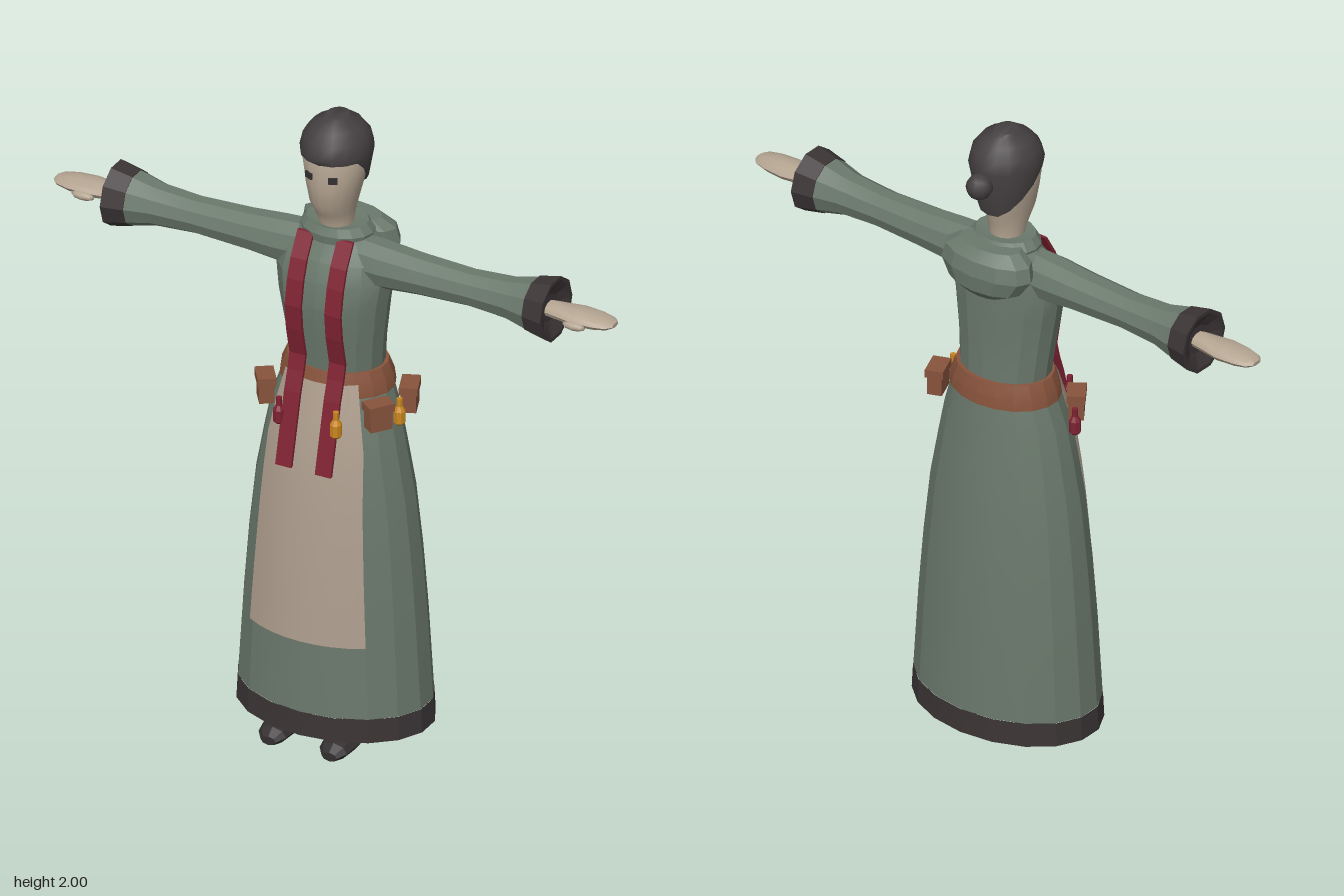
import * as THREE from 'three';
import { toCreasedNormals } from 'three/addons/utils/BufferGeometryUtils.js';

const mat = (name, color, side = THREE.FrontSide) =>
  Object.assign(new THREE.MeshStandardMaterial({ color, side }), { name });

// Elliptical rings [y, rx, rz, centreZ] joined from bottom to top
function loft(rings, sides, { caps = true, crease = 0.3, bend } = {}) {
  const pos = [], idx = [];
  rings.forEach(([y, rx, rz, cz = 0], i) => {
    for (let j = 0; j < sides; j++) {
      const a = (j / sides) * Math.PI * 2;
      const p = new THREE.Vector3(rx * Math.sin(a), y, cz + rz * Math.cos(a));
      if (bend) bend(p, i);
      pos.push(p.x, p.y, p.z);
    }
  });
  const top = (rings.length - 1) * sides;
  for (let i = 0; i < rings.length - 1; i++) {
    for (let j = 0; j < sides; j++) {
      const a = i * sides + j, b = i * sides + (j + 1) % sides;
      idx.push(a, b, b + sides, a, b + sides, a + sides);
    }
  }
  if (caps) {
    for (let j = 1; j < sides - 1; j++) idx.push(0, j + 1, j, top, top + j, top + j + 1);
  }
  const g = new THREE.BufferGeometry();
  g.setAttribute('position', new THREE.Float32BufferAttribute(pos, 3));
  g.setIndex(idx);
  return toCreasedNormals(g, crease);
}

export function createModel() {
  const model = new THREE.Group();
  model.name = 'robedWoman';
  const green = mat('greenCloth', 0x6a786b, THREE.DoubleSide);
  const trim = mat('darkTrim', 0x3b3435, THREE.DoubleSide);
  const linen = mat('apronLinen', 0xad9d8d, THREE.DoubleSide);
  const skin = mat('skin', 0xb5a592);
  const hairMat = mat('hair', 0x443f40, THREE.DoubleSide);
  const red = mat('redCloth', 0x7e2232);
  const leather = mat('leather', 0x87533c);
  const amber = mat('amberGlass', 0xc9851f);
  const black = mat('shoeBlack', 0x332f31);

  const add = (name, geo, material, parent = model) => {
    const m = new THREE.Mesh(geo, material);
    m.name = name;
    parent.add(m);
    return m;
  };

  // Skirt and hem
  const skirt = [
    [0.135, 0.303, 0.217, 0], [0.4, 0.286, 0.207, 0], [0.6, 0.27, 0.194, 0],
    [0.8, 0.248, 0.178, 0], [0.95, 0.22, 0.162, 0], [1.05, 0.2, 0.147, -0.002],
    [1.15, 0.168, 0.13, -0.01], [1.2, 0.15, 0.118, -0.01],
  ];
  add('skirt', loft(skirt, 18, { caps: false }), green);
  add('hem', loft([[0.06, 0.308, 0.221], [0.135, 0.304, 0.218]], 18, { caps: false }), trim);

  // Apron follows the skirt front
  const skirtAt = (y) => {
    let i = 0;
    while (i < skirt.length - 2 && skirt[i + 1][0] < y) i++;
    const t = (y - skirt[i][0]) / (skirt[i + 1][0] - skirt[i][0]);
    return skirt[i].map((v, k) => v + (skirt[i + 1][k] - v) * t);
  };
  const apron = new THREE.PlaneGeometry(2, 0.81, 8, 8);
  const ap = apron.attributes.position;
  for (let i = 0; i < ap.count; i++) {
    const y = ap.getY(i) + 0.775;
    const [, rx, rz, cz] = skirtAt(y);
    const w = y < 1.0 ? 0.19 - (y - 0.37) * 0.055 : 0.155 - (y - 1.0) * 0.2;
    const x = ap.getX(i) * w;
    ap.setXYZ(i, x, y, cz + rz * Math.sqrt(1 - (x / rx) ** 2) + 0.014);
  }
  add('apron', toCreasedNormals(apron, 0.2), linen);

  // Bodice, collar and folded hood
  add('bodice', loft([
    [1.18, 0.143, 0.112, -0.012], [1.3, 0.155, 0.115, -0.002], [1.42, 0.172, 0.124, 0.006],
    [1.5, 0.184, 0.118, 0.002], [1.56, 0.172, 0.106, -0.006], [1.61, 0.132, 0.085, -0.014],
    [1.64, 0.1, 0.075, -0.012],
  ], 16), green);
  add('collar', loft([
    [1.61, 0.11, 0.085, -0.012], [1.635, 0.115, 0.088, -0.012],
    [1.66, 0.095, 0.076, -0.01], [1.655, 0.06, 0.055, -0.005],
  ], 16), green);
  const hood = loft([
    [1.495, 0.06, 0.025, -0.115], [1.525, 0.125, 0.062, -0.105], [1.575, 0.16, 0.077, -0.095],
    [1.62, 0.15, 0.072, -0.09], [1.65, 0.105, 0.055, -0.08],
  ], 12);
  add('hood', hood, green);

  // Two hanging stole bands
  const line = [[1.63, 0.066], [1.56, 0.107], [1.5, 0.128], [1.42, 0.143], [1.34, 0.135],
    [1.25, 0.114], [1.2, 0.126], [1.14, 0.146], [0.92, 0.2]];
  const band = new THREE.Shape([
    ...line.map(([y, z]) => new THREE.Vector2(z, y)),
    ...line.slice().reverse().map(([y, z]) => new THREE.Vector2(z - 0.01, y)),
  ]);
  for (const x of [-0.065, 0.065]) {
    const g = new THREE.ExtrudeGeometry(band, { depth: 0.052, bevelEnabled: false });
    g.rotateY(-Math.PI / 2).translate(x + 0.026, 0, 0);
    add('stoleBand', g, red);
  }

  // Belt with pouches and bottles
  add('belt', loft([
    [1.135, 0.178, 0.137, -0.012], [1.17, 0.173, 0.133, -0.012], [1.21, 0.156, 0.122, -0.012],
  ], 18), leather);
  for (const [x, y, z, turn, w] of [
    [0.185, 1.095, 0.085, 0.95, 0.07], [0.21, 1.1, -0.06, 1.95, 0.075], [-0.185, 1.095, 0.085, -0.95, 0.07],
  ]) {
    const pouch = new THREE.Group();
    pouch.name = 'pouch';
    pouch.position.set(x, y, z);
    pouch.rotation.y = turn;
    add('pouchBody', new THREE.BoxGeometry(w, 0.075, 0.045), leather, pouch);
    add('pouchFlap', new THREE.BoxGeometry(w + 0.01, 0.025, 0.055), leather, pouch).position.y = 0.033;
    model.add(pouch);
  }
  const bottle = loft([
    [-0.04, 0.01, 0.01], [-0.032, 0.018, 0.018], [0.005, 0.018, 0.018],
    [0.02, 0.009, 0.009], [0.045, 0.009, 0.009],
  ], 8);
  for (const [x, y, z, m] of [
    [0.087, 1.075, 0.16, amber], [0.222, 1.09, 0.025, amber],
    [-0.1, 1.075, 0.16, red], [-0.215, 1.065, 0.04, red],
  ]) add('bottle', bottle, m).position.set(x, y, z);

  // Arms: sleeve, cuff, hand and thumb, built outward along +x then turned
  const along = (rings, sides, opt) => loft(rings, sides, opt).rotateZ(-Math.PI / 2);
  for (const s of [1, -1]) {
    const arm = new THREE.Group();
    arm.name = s > 0 ? 'leftArm' : 'rightArm';
    arm.position.y = 1.55;
    arm.rotation.y = s > 0 ? 0 : Math.PI;
    add('sleeve', along([
      [0.08, 0.078, 0.065], [0.17, 0.072, 0.07], [0.28, 0.062, 0.065], [0.45, 0.055, 0.06],
      [0.58, 0.064, 0.066], [0.655, 0.083, 0.083],
    ], 10), green, arm);
    add('cuff', along([
      [0.654, 0.085, 0.085], [0.722, 0.1, 0.098], [0.722, 0.088, 0.086], [0.7, 0.045, 0.045],
    ], 10), trim, arm);
    add('hand', along([
      [0.69, 0.022, 0.03], [0.75, 0.023, 0.04], [0.8, 0.024, 0.05], [0.86, 0.02, 0.046],
      [0.9, 0.013, 0.036], [0.916, 0.006, 0.018],
    ], 10, { crease: 0.6 }), skin, arm);
    const thumb = add('thumb', new THREE.SphereGeometry(1, 8, 6), skin, arm);
    thumb.scale.set(0.038, 0.013, 0.015);
    thumb.position.set(0.805, -0.01, 0.047 * s);
    model.add(arm);
  }

  // Head, eyes, hair and bun
  add('head', loft([
    [1.62, 0.052, 0.052, -0.003], [1.66, 0.052, 0.053, -0.003], [1.7, 0.06, 0.066, 0.004],
    [1.74, 0.07, 0.084, 0.009], [1.8, 0.085, 0.093, 0.006], [1.88, 0.1, 0.101, 0],
    [1.95, 0.08, 0.08, 0],
  ], 16, { crease: 1 }), skin);
  for (const s of [1, -1]) {
    const eye = add('eye', new THREE.BoxGeometry(0.027, 0.02, 0.009), black);
    eye.position.set(0.039 * s, 1.835, 0.09);
    eye.rotation.y = 0.42 * s;
  }
  add('hair', loft([
    [1.885, 0.104, 0.112, -0.004], [1.9, 0.107, 0.117, -0.007], [1.94, 0.098, 0.106, -0.007],
    [1.972, 0.074, 0.08, -0.008], [1.988, 0.045, 0.055, -0.008], [2, 0.034, 0.04, -0.01],
  ], 16, {
    crease: 0.8,
    // lower edge sweeps down to the nape
    bend: (p, i) => {
      if (i) return;
      const d = THREE.MathUtils.clamp((0.04 - p.z) / 0.15, 0, 1);
      p.set(p.x * (1 - 0.2 * d), p.y - 0.14 * d, p.z * (1 - 0.2 * d));
    },
  }), hairMat);
  const bun = add('bun', new THREE.SphereGeometry(0.04, 10, 8), hairMat);
  bun.position.set(0, 1.86, -0.132);

  // Shoes, lofted heel to toe
  for (const x of [-0.1, 0.1]) {
    const shoe = loft([
      [-0.06, 0.03, 0.03, -0.03], [-0.04, 0.04, 0.036, -0.036], [0.06, 0.047, 0.036, -0.036],
      [0.14, 0.055, 0.034, -0.034], [0.2, 0.045, 0.025, -0.025], [0.225, 0.025, 0.014, -0.016],
    ], 8);
    shoe.rotateX(Math.PI / 2);
    add('shoe', shoe, black).position.set(x, 0, 0);
  }
  return model;
}
